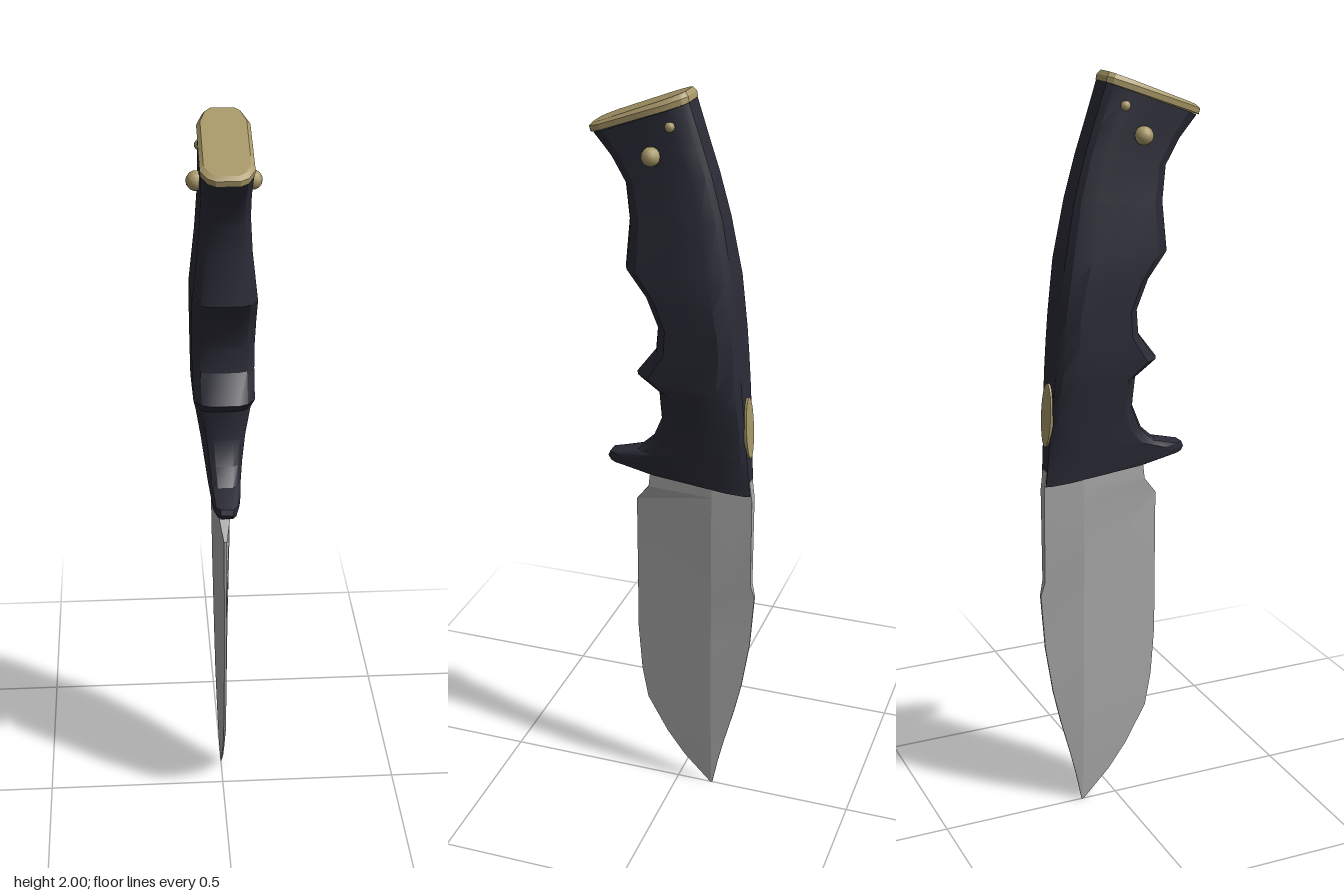
import * as THREE from 'three';
import { toCreasedNormals } from 'three/addons/utils/BufferGeometryUtils.js';

// Joins closed rings of [x, y, z] points, listed from top to bottom, and caps both ends.
function loft(rings, crease) {
  const n = rings[0].length, pos = [], index = [];
  rings.forEach(r => r.forEach(p => pos.push(...p)));
  for (let i = 0; i < rings.length - 1; i++) {
    for (let j = 0; j < n; j++) {
      const k = (j + 1) % n, a = i * n + j, b = i * n + k, c = a + n, d = b + n;
      index.push(a, c, b, b, c, d);
    }
  }
  const last = (rings.length - 1) * n;
  for (let j = 1; j < n - 1; j++) {
    index.push(0, j, j + 1, last, last + j + 1, last + j);
  }
  const g = new THREE.BufferGeometry();
  g.setAttribute('position', new THREE.Float32BufferAttribute(pos, 3));
  g.setIndex(index);
  return toCreasedNormals(g, crease);
}

// Half outline of the grip: [share of the way from front to back, share of the half width]
const OUTLINE = [[0, 0.45], [0.04, 0.75], [0.15, 1], [0.5, 1.0], [0.8, 1], [0.95, 0.76], [1, 0.52]];

// A slanted grip ring between a front point and a back point.
function gripRing([fz, fy, bz, by, w]) {
  const half = OUTLINE.map(([t, k]) => [w * k, fy + (by - fy) * t, fz + (bz - fz) * t]);
  return [...half, ...half.slice().reverse().map(([x, y, z]) => [-x, y, z])];
}

// A blade ring: cutting edge, ridge and spine, each with its half thickness.
function bladeRing([y, edgeZ, edge, ridge, spineZ, spine]) {
  const half = [[edge, y, edgeZ], [ridge, y, -0.1], [spine, y, spineZ]];
  return [...half, ...half.slice().reverse().map(([x, py, z]) => [-x, py, z])];
}

export function createModel() {
  const group = new THREE.Group();
  const material = (name, color) => {
    const m = new THREE.MeshStandardMaterial({ color });
    m.name = name;
    return m;
  };
  const grip = material('dark grip', 0x2a2b36);
  const brass = material('brass', 0xa89868);
  const steel = material('steel', 0xa8a8a8);
  const add = (name, geometry, mat) => {
    const mesh = new THREE.Mesh(geometry, mat);
    mesh.name = name;
    group.add(mesh);
    return mesh;
  };

  // Handle with finger grooves and guard: front z, front y, back z, back y, half width
  const handle = [
    [0.21, 1.885, -0.037, 1.975, 0.062],
    [0.164, 1.83, -0.07, 1.875, 0.06],
    [0.127, 1.767, -0.095, 1.8, 0.061],
    [0.117, 1.677, -0.125, 1.69, 0.067],
    [0.127, 1.555, -0.154, 1.54, 0.081],
    [0.074, 1.487, -0.162, 1.47, 0.081],
    [0.042, 1.41, -0.17, 1.4, 0.08],
    [0.048, 1.343, -0.176, 1.33, 0.079],
    [0.1, 1.275, -0.181, 1.26, 0.078],
    [0.042, 1.232, -0.185, 1.21, 0.071],
    [0.037, 1.147, -0.19, 1.14, 0.058],
    [0.064, 1.084, -0.193, 1.08, 0.049],
    [0.106, 1.045, -0.196, 1.04, 0.043],
    [0.186, 1.026, -0.199, 1.0, 0.037],
    [0.192, 1.012, -0.2, 0.98, 0.035],
    [0.186, 0.999, -0.202, 0.962, 0.032],
    [0.11, 0.983, -0.203, 0.95, 0.03],
  ];
  add('handle', loft(handle.map(gripRing), 0.5), grip);

  // Pommel plate
  const pommel = [
    [0.21, 1.91, -0.026, 2.0, 0.055],
    [0.22, 1.9, -0.035, 1.99, 0.064],
    [0.217, 1.886, -0.038, 1.976, 0.063],
  ];
  add('pommelPlate', loft(pommel.map(gripRing), 0.4), brass);

  // Blade: y, edge z, edge half, ridge half, spine z, spine half
  const blade = [
    [0.99, 0.074, 0.014, 0.027, -0.2, 0.014],
    [0.935, 0.08, 0.014, 0.027, -0.207, 0.013],
    [0.888, 0.117, 0.004, 0.026, -0.207, 0.012],
    [0.68, 0.117, 0.003, 0.023, -0.207, 0.01],
    [0.64, 0.117, 0.003, 0.022, -0.217, 0.004],
    [0.485, 0.117, 0.003, 0.019, -0.206, 0.003],
    [0.35, 0.107, 0.003, 0.016, -0.185, 0.003],
    [0.257, 0.09, 0.003, 0.013, -0.164, 0.003],
    [0.151, 0.032, 0.002, 0.009, -0.136, 0.002],
    [0.08, -0.02, 0.002, 0.006, -0.119, 0.002],
    [0, -0.097, 0.001, 0.001, -0.103, 0.001],
  ];
  add('blade', loft(blade.map(bladeRing), 0.12), steel);

  // Oval inlay on the back of the handle
  const oval = new THREE.CylinderGeometry(1, 1, 0.009, 24).rotateX(Math.PI / 2).scale(0.033, 0.085, 1);
  const inlay = add('backInlay', oval, brass);
  inlay.position.set(0, 1.14, -0.19);
  inlay.rotation.x = 0.06;

  // Rivets on both sides
  for (const side of [1, -1]) {
    const name = side > 0 ? 'left' : 'right';
    add(name + 'Rivet', new THREE.SphereGeometry(0.024, 12, 8), brass).position.set(side * 0.068, 1.847, 0.048);
    add(name + 'SmallRivet', new THREE.SphereGeometry(0.014, 10, 8), brass).position.set(side * 0.055, 1.92, 0.003);
  }
  return group;
}
